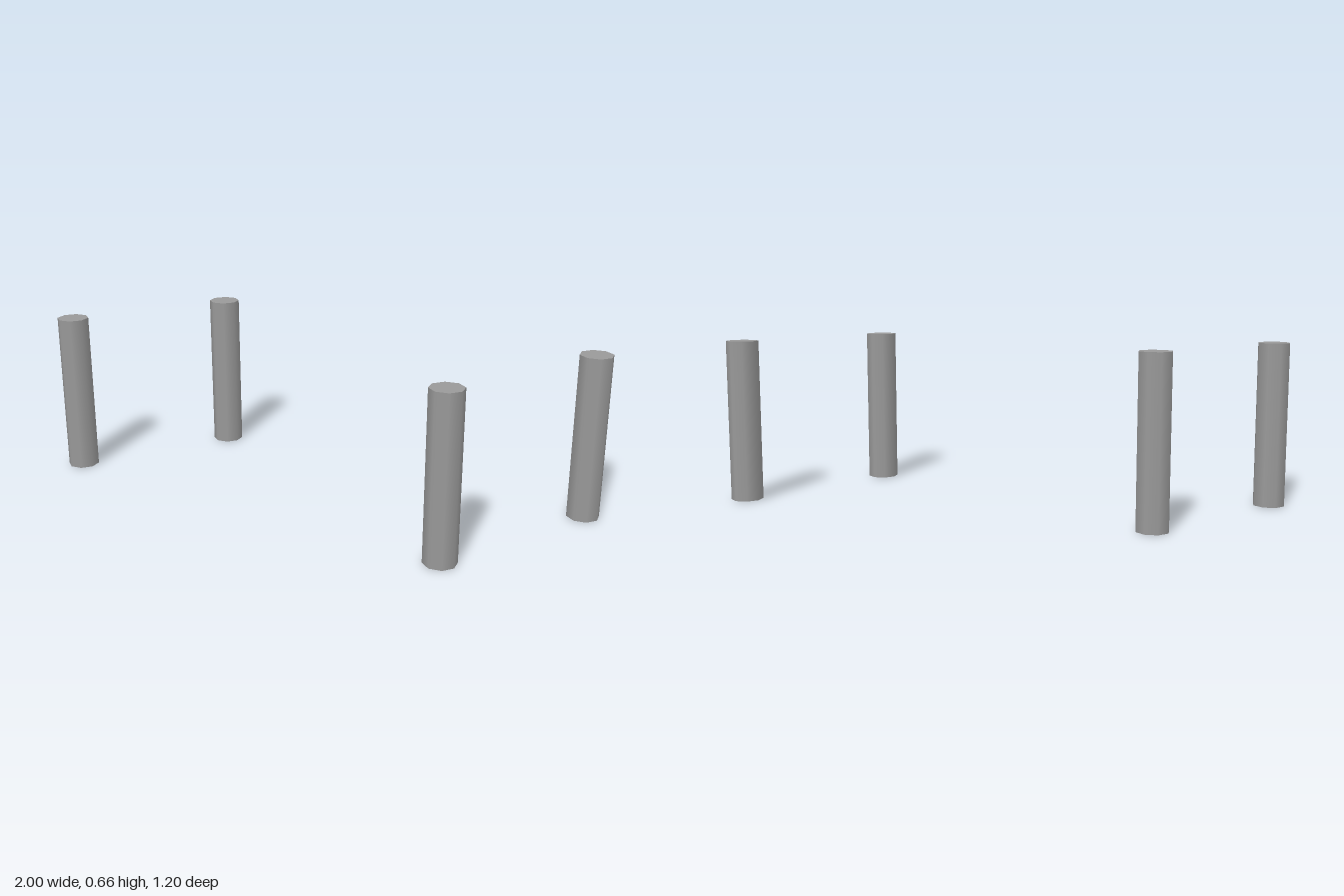
import * as THREE from 'three';

export function createModel() {
  const model = new THREE.Group();
  model.name = 'posts';
  const grey = new THREE.MeshStandardMaterial({ color: 0x999999 });
  grey.name = 'grey';

  // Four identical eight-sided posts with smooth sides, standing on the ground
  const height = 0.66, radius = 0.065;
  const geometry = new THREE.CylinderGeometry(radius, radius, height, 8);
  geometry.translate(0, height / 2, 0);

  const posts = [
    ['backLeftPost', 0.935, -0.535],
    ['frontLeftPost', 0.785, 0.173],
    ['backRightPost', -0.727, -0.127],
    ['frontRightPost', -0.935, 0.535],
  ];
  for (const [name, x, z] of posts) {
    const post = new THREE.Mesh(geometry, grey);
    post.name = name;
    post.position.set(x, 0, z);
    model.add(post);
  }
  return model;
}
